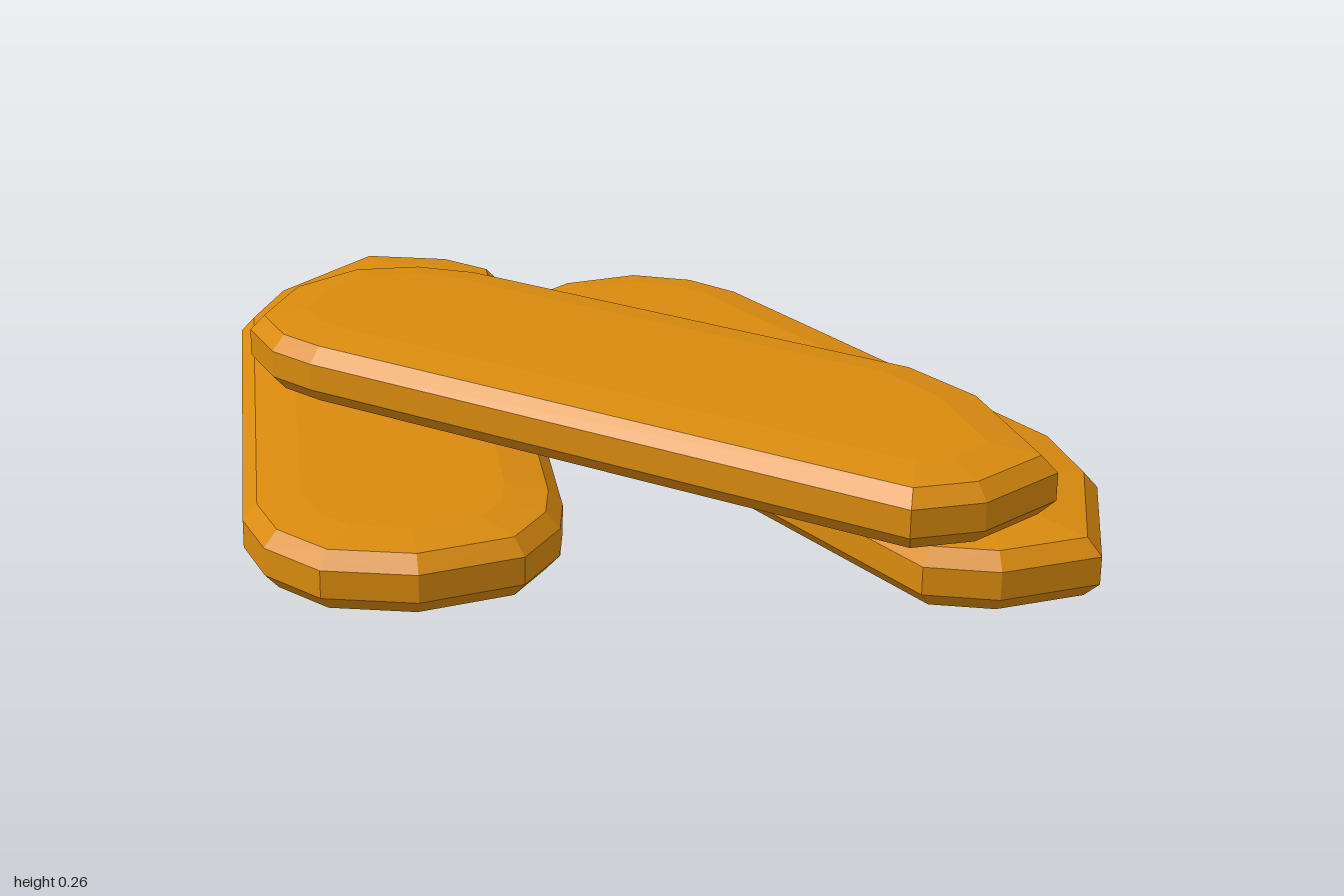
import * as THREE from 'three';

// Slab outline (x, z), counter-clockwise from above, starting at its blunt tip
const OUTLINE = [
  [0, 0], [0.2, -0.225], [0.265, -0.395], [0.265, -1.355],
  [0.23, -1.475], [0.14, -1.575], [-0.02, -1.61], [-0.2, -1.555],
  [-0.27, -1.445], [-0.285, -1.345], [-0.275, -0.13], [-0.18, -0.043],
].map(([x, z]) => new THREE.Vector2(x, z));

// Edge profile: [height, inset]
const PROFILE = [
  [0, 0.1], [0.012, 0.025], [0.04, 0], [0.09, 0], [0.118, 0.025], [0.13, 0.1],
];

// Mitred offset direction at each outline corner
function cornerNormals(points) {
  const n = points.length;
  const edges = points.map((p, i) => {
    const d = points[(i + 1) % n].clone().sub(p).normalize();
    return new THREE.Vector2(-d.y, d.x);
  });
  return edges.map((e, i) => {
    const prev = edges[(i + n - 1) % n];
    return e.clone().add(prev).divideScalar(1 + e.dot(prev));
  });
}

// Bevelled slab from stacked inset outlines, closed by fans
function slabGeometry() {
  const n = OUTLINE.length;
  const normals = cornerNormals(OUTLINE);
  const positions = [];
  const index = [];
  for (const [y, inset] of PROFILE) {
    OUTLINE.forEach((p, i) => {
      positions.push(p.x - normals[i].x * inset, y, p.y - normals[i].y * inset);
    });
  }
  const top = (PROFILE.length - 1) * n;
  const bottomCentre = PROFILE.length * n;
  positions.push(0, 0, -0.8, 0, 0.13, -0.8);
  for (let i = 0; i < n; i++) {
    const k = (i + 1) % n;
    for (let j = 0; j < top; j += n) {
      index.push(j + i, j + k, j + n + k, j + i, j + n + k, j + n + i);
    }
    index.push(bottomCentre, k, i, bottomCentre + 1, top + i, top + k);
  }
  const geometry = new THREE.BufferGeometry();
  geometry.setAttribute('position', new THREE.Float32BufferAttribute(positions, 3));
  geometry.setIndex(index);
  const flat = geometry.toNonIndexed();
  flat.computeVertexNormals();
  return flat;
}

export function createModel() {
  const group = new THREE.Group();
  group.name = 'slabPile';
  const amber = new THREE.MeshStandardMaterial({ color: 0xd98a0e });
  amber.name = 'amber';
  amber.flatShading = true;
  const geometry = slabGeometry();

  // The same slab three times: two on the ground, one laid across them
  const slabs = [
    ['leftSlab', 0.44, 0, 0.995, 0],
    ['rightSlab', 0.17, 0, -1.0, 2.668],
    ['topSlab', 0.4, 0.134, 0.92, 0.405],
  ];
  for (const [name, x, y, z, turn] of slabs) {
    const slab = new THREE.Mesh(geometry, amber);
    slab.name = name;
    slab.position.set(x, y, z);
    slab.rotation.y = turn;
    group.add(slab);
  }
  return group;
}
